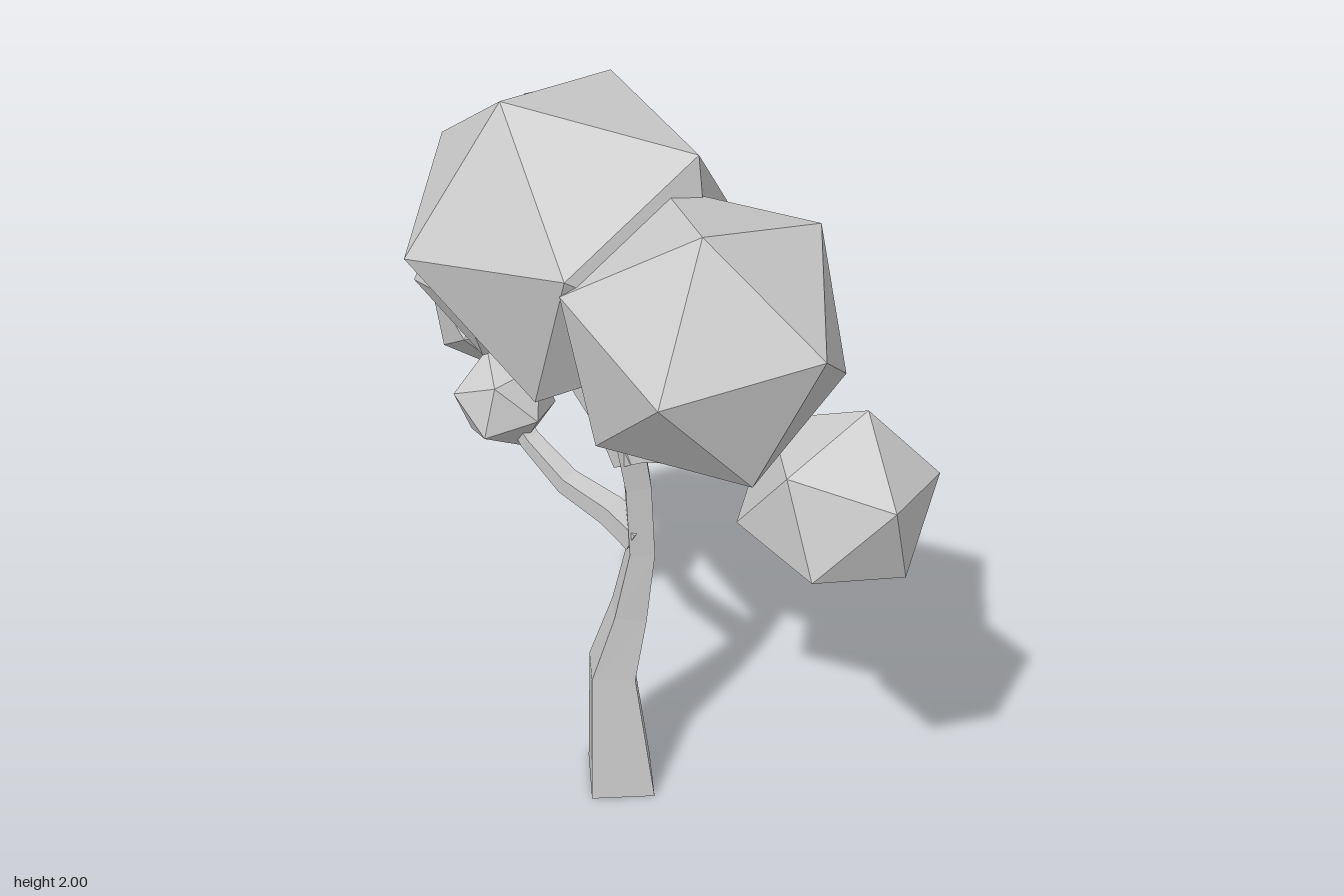
import * as THREE from 'three';

const material = new THREE.MeshStandardMaterial({ color: 0xcccccc, flatShading: true });
const vec = (p) => new THREE.Vector3(...p);

// Orthonormal basis whose first axis is u and whose second lies towards v
function basis(u, v) {
  const e1 = u.clone().normalize();
  const e3 = e1.clone().cross(v).normalize();
  const e2 = e3.clone().cross(e1);
  return new THREE.Matrix4().makeBasis(e1, e2, e3);
}

// Leaf clump: icosahedron turned so two neighbouring corners point along u and v
function clump(name, centre, radius, u, v, stretchZ = 1) {
  const geometry = new THREE.IcosahedronGeometry(radius, 0);
  const t = (1 + Math.sqrt(5)) / 2;
  const local = basis(vec([-1, t, 0]), vec([1, t, 0]));
  geometry.applyMatrix4(basis(vec(u), vec(v)).multiply(local.invert()));
  geometry.scale(1, 1, stretchZ);
  geometry.translate(...centre);
  const mesh = new THREE.Mesh(geometry, material);
  mesh.name = name;
  return mesh;
}

// Four-sided tapering limb through points [x, y, z, radius]
function limb(name, points, phase = Math.PI / 4) {
  const centres = points.map(([x, y, z]) => new THREE.Vector3(x, y, z));
  const positions = [];
  const index = [];
  const last = points.length - 1;
  points.forEach((p, k) => {
    const tangent = centres[Math.min(k + 1, last)].clone().sub(centres[Math.max(k - 1, 0)]).normalize();
    if (name === 'trunk' && k === 0) tangent.set(0, 1, 0);
    const a = new THREE.Vector3(1, 0, 0).addScaledVector(tangent, -tangent.x).normalize();
    const b = tangent.clone().cross(a);
    for (let i = 0; i < 4; i++) {
      const angle = phase + (i * Math.PI) / 2;
      const corner = centres[k].clone()
        .addScaledVector(a, p[3] * Math.cos(angle))
        .addScaledVector(b, p[3] * Math.sin(angle));
      positions.push(corner.x, corner.y, corner.z);
      if (k < last) {
        const q = k * 4 + i;
        const r = k * 4 + ((i + 1) % 4);
        index.push(q, r, r + 4, q, r + 4, q + 4);
      }
    }
  });
  const e = last * 4;
  index.push(0, 2, 1, 0, 3, 2, e, e + 1, e + 2, e, e + 2, e + 3);
  const geometry = new THREE.BufferGeometry();
  geometry.setAttribute('position', new THREE.Float32BufferAttribute(positions, 3));
  geometry.setIndex(index);
  geometry.computeVertexNormals();
  const mesh = new THREE.Mesh(geometry, material);
  mesh.name = name;
  return mesh;
}

export function createModel() {
  const tree = new THREE.Group();
  tree.name = 'tree';

  // Trunk and branches
  tree.add(
    limb('trunk', [
      [0.115, 0.005, -0.07, 0.117],
      [0.095, 0.39, -0.085, 0.078],
      [0.125, 0.58, -0.055, 0.057],
      [0.14, 0.78, -0.03, 0.043],
      [0.125, 0.98, -0.03, 0.043],
      [0.1, 1.12, -0.035, 0.045],
    ], 0.15),
    limb('rearBranch', [
      [0.11, 1.05, -0.03, 0.05], [0.1, 1.13, -0.08, 0.046],
      [0.07, 1.29, -0.24, 0.042], [0.05, 1.4, -0.34, 0.035],
    ]),
    limb('rearUpperTwig', [
      [0.06, 1.34, -0.29, 0.03], [0.15, 1.48, -0.3, 0.026], [0.2, 1.64, -0.31, 0.02],
    ]),
    limb('frontBranch', [
      [0.11, 1.08, -0.04, 0.05], [0.11, 1.12, 0.03, 0.042],
      [0.1, 1.19, 0.17, 0.04], [0.14, 1.2, 0.27, 0.036],
      [0.19, 1.25, 0.4, 0.032], [0.17, 1.26, 0.52, 0.025],
    ]),
    limb('frontUpperTwig', [
      [0.1, 1.18, 0.17, 0.038], [0.07, 1.25, 0.21, 0.034],
      [0.03, 1.38, 0.26, 0.03], [-0.02, 1.52, 0.32, 0.025],
    ]),
    limb('lowerBranch', [
      [0.13, 0.82, -0.03, 0.045], [0.11, 0.86, -0.11, 0.04],
      [0.08, 0.89, -0.24, 0.034], [0.06, 0.96, -0.36, 0.028],
      [0.055, 1.03, -0.44, 0.022],
    ]),
  );

  // Leaf clumps
  tree.add(
    clump('crownClump', [-0.05, 1.68, -0.044], 0.358, [-0.15, 0.32, -0.032], [-0.34, 0.01, -0.11], 1.13),
    clump('frontUpperClump', [-0.05, 1.62, 0.37], 0.31, [0.02, 0.07, 0.3], [-0.1, 0.28, 0.08]),
    clump('frontLowerClump', [0.15, 1.25, 0.57], 0.215, [0.04, 0.21, 0.025], [-0.04, 0.09, 0.19]),
    clump('rearUpperClump', [0.2, 1.68, -0.31], 0.2, [0.12, 0.15, -0.06], [0.185, -0.06, -0.05]),
    clump('rearMiddleClump', [0.03, 1.45, -0.38], 0.224, [0.015, 0.08, -0.205], [0.1, 0.2, -0.04]),
    clump('rearLowerClump', [0.14, 1.21, -0.595], 0.169, [0, -0.01, -0.165], [0.03, 0.145, -0.075]),
    clump('smallRearClump', [0.055, 1.04, -0.45], 0.13, [0.01, -0.115, 0.05], [0, 0, 0.125]),
  );
  return tree;
}
